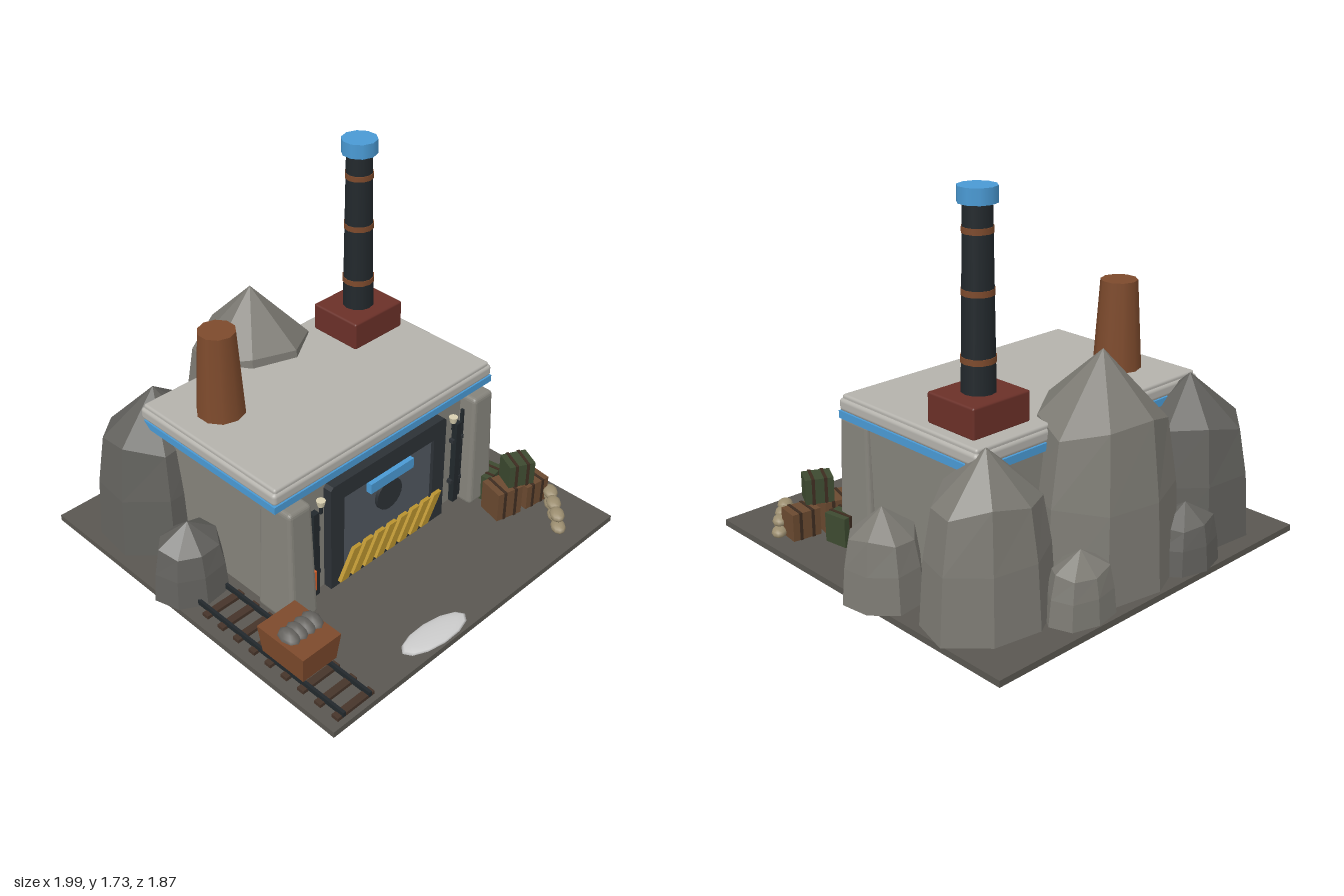
import * as THREE from 'three';
import { RoundedBoxGeometry } from 'three/addons/geometries/RoundedBoxGeometry.js';

const mat = (color, opts = {}) => new THREE.MeshStandardMaterial({ color, ...opts });
const M = {
  ground: mat(0x5a5751), wall: mat(0x85837b), roof: mat(0xb4b2ac), blue: mat(0x4a9ad4),
  rock: mat(0x7c7a73, { flatShading: true }), darkRock: mat(0x62615d, { flatShading: true }),
  frame: mat(0x2c3136), panel: mat(0x515860), steel: mat(0x22282c), rust: mat(0x7d4a2c),
  maroon: mat(0x6b3028), yellow: mat(0xb8922e), orange: mat(0xd8602a), crate: mat(0x6b4a30),
  strap: mat(0x3d2c20), green: mat(0x3d4a30), sand: mat(0x9c8e70), wood: mat(0x46342a),
  ore: mat(0x65635f), snow: mat(0xd8d8d4), lamp: mat(0xd8cfb0),
};

export function createModel() {
  const model = new THREE.Group();

  const add = (name, geo, m, x, y, z, parent = model) => {
    const mesh = new THREE.Mesh(geo, m);
    mesh.name = name;
    mesh.position.set(x, y, z);
    parent.add(mesh);
    return mesh;
  };
  const box = (name, m, w, h, d, x, y, z, parent) =>
    add(name, new THREE.BoxGeometry(w, h, d), m, x, y, z, parent);
  const cyl = (name, m, rTop, rBottom, h, n, x, y, z, parent) =>
    add(name, new THREE.CylinderGeometry(rTop, rBottom, h, n), m, x, y, z, parent);
  const group = (name, x, y, z, turn = 0) => {
    const g = new THREE.Group();
    g.name = name;
    g.position.set(x, y, z);
    g.rotation.y = turn;
    model.add(g);
    return g;
  };
  // Scales a box's horizontal section linearly towards its top
  const taper = (geo, h, top) => {
    const p = geo.attributes.position;
    for (let i = 0; i < p.count; i++) {
      const s = 1 + (top - 1) * (p.getY(i) / h + 0.5);
      p.setX(i, p.getX(i) * s);
      p.setZ(i, p.getZ(i) * s);
    }
    geo.computeVertexNormals();
    return geo;
  };

  // Ground plate
  box('ground', M.ground, 1.865, 0.03, 1.86, -0.022, 0.015, 0);

  // Bunker body, roof band and rounded roof slab
  box('walls', M.wall, 1.26, 0.64, 0.82, -0.022, 0.35, -0.11);
  box('roofBand', M.blue, 1.37, 0.035, 0.88, -0.022, 0.662, -0.1);
  add('roofSlab', new RoundedBoxGeometry(1.37, 0.06, 0.88, 2, 0.018), M.roof, -0.022, 0.708, -0.1);
  add('roofTop', new RoundedBoxGeometry(1.345, 0.04, 0.86, 2, 0.012), M.roof, -0.022, 0.735, -0.1);

  // Front buttresses, posts and lamps, mirrored about the door axis
  for (const s of [-1, 1]) {
    const at = (d) => -0.022 + s * d;
    add('buttress', taper(new RoundedBoxGeometry(0.155, 0.605, 0.23, 2, 0.022), 0.605, 0.82),
      M.wall, at(0.583), 0.333, 0.292);
    box('post', M.steel, 0.032, 0.46, 0.03, at(0.46), 0.29, 0.335);
    box('conduit', M.steel, 0.012, 0.5, 0.015, at(0.5), 0.32, 0.33);
    for (const y of [0.18, 0.42]) box('postClamp', M.frame, 0.075, 0.02, 0.025, at(0.468), y, 0.33);
    cyl('lampStem', M.steel, 0.008, 0.008, 0.05, 6, at(0.425), 0.525, 0.34);
    cyl('lampShade', M.lamp, 0.022, 0.015, 0.03, 8, at(0.425), 0.555, 0.34);
  }
  box('warningLight', M.orange, 0.022, 0.11, 0.03, -0.51, 0.165, 0.35);

  // Gate: frame with an opening, panel, blue plate, round hatch, hazard stripes
  const frame = new THREE.Shape([[-0.37, 0], [0.37, 0], [0.37, 0.555], [0.355, 0.57], [-0.355, 0.57],
    [-0.37, 0.555]].map(([x, y]) => new THREE.Vector2(x, y)));
  frame.holes.push(new THREE.Path([[-0.29, 0.02], [-0.29, 0.48], [0.29, 0.48], [0.29, 0.02]]
    .map(([x, y]) => new THREE.Vector2(x, y))));
  add('gateFrame', new THREE.ExtrudeGeometry(frame, { depth: 0.055, bevelEnabled: false }), M.frame, -0.022, 0.03, 0.29);
  box('gatePanel', M.panel, 0.6, 0.49, 0.04, -0.022, 0.275, 0.308);
  box('gatePlate', M.blue, 0.275, 0.052, 0.03, -0.022, 0.474, 0.345);
  cyl('gateHatch', M.frame, 0.08, 0.08, 0.02, 20, -0.022, 0.363, 0.335).rotation.x = Math.PI / 2;
  const stripe = new THREE.Shape([[0, 0], [0.048, 0], [0.135, 0.145], [0.087, 0.145]]
    .map(([x, y]) => new THREE.Vector2(x, y)));
  const stripeGeo = new THREE.ExtrudeGeometry(stripe, { depth: 0.02, bevelEnabled: false });
  for (let i = 0; i < 8; i++) add('hazardStripe', stripeGeo, M.yellow, -0.352 + i * 0.076, 0.055, 0.345);

  // Rusty chimney
  cyl('chimney', M.rust, 0.085, 0.112, 0.42, 10, -0.48, 0.958, -0.25);

  // Tall stack with plinth, rings and cap
  add('stackPlinth', new RoundedBoxGeometry(0.315, 0.14, 0.28, 1, 0.01), M.maroon, 0.44, 0.82, -0.315);
  cyl('stack', M.steel, 0.062, 0.075, 0.8, 12, 0.44, 1.285, -0.315);
  for (const [y, r] of [[1.03, 0.076], [1.31, 0.071], [1.56, 0.067]])
    cyl('stackRing', M.rust, r, r, 0.026, 12, 0.44, y, -0.315);
  cyl('stackCap', M.blue, 0.084, 0.084, 0.068, 10, 0.44, 1.7, -0.315);

  // Rocks: steep ringed cones with slightly irregular shoulders
  const rings = [[0, 1], [0.4, 0.93], [0.72, 0.8], [1, 0]];
  const rock = (m, x, z, rx, rz, h, seed) => {
    const n = 8, pos = [], idx = [];
    rings.forEach(([t, r], k) => {
      for (let i = 0; i < n; i++) {
        const a = (i + 0.15 * seed) / n * Math.PI * 2;
        const j = Math.sin(i * 2.3 + seed * 1.7);
        const rr = r * (1 + 0.04 * j);
        const lift = k === 2 ? 0.04 * Math.sin(i * 1.9 + seed) : 0;
        pos.push(Math.sin(a) * rx * rr, (t + lift) * h, Math.cos(a) * rz * rr);
      }
    });
    for (let k = 0; k < rings.length - 1; k++) for (let i = 0; i < n; i++) {
      const a = k * n + i, b = k * n + (i + 1) % n;
      idx.push(a, b, b + n);
      if (k < rings.length - 2) idx.push(a, b + n, a + n);
    }
    const geo = new THREE.BufferGeometry();
    geo.setAttribute('position', new THREE.Float32BufferAttribute(pos, 3));
    geo.setIndex(idx);
    geo.computeVertexNormals();
    add('rock', geo, m, x, 0.03, z);
  };
  rock(M.rock, 0.01, -0.6, 0.36, 0.33, 1.01, 1);
  rock(M.rock, 0.62, -0.55, 0.3, 0.25, 0.735, 2);
  rock(M.darkRock, -0.6, -0.58, 0.33, 0.28, 0.75, 3);
  rock(M.rock, 0.82, -0.14, 0.18, 0.18, 0.41, 4);
  rock(M.darkRock, -0.81, -0.12, 0.18, 0.16, 0.365, 5);
  rock(M.rock, 0.34, -0.8, 0.17, 0.13, 0.29, 6);
  rock(M.darkRock, -0.31, -0.81, 0.18, 0.13, 0.29, 7);

  // Track
  for (let i = 0; i < 9; i++) box('sleeper', M.wood, 0.21, 0.018, 0.036, -0.8, 0.038, 0.085 + i * 0.1);
  for (const x of [-0.875, -0.725]) box('rail', M.steel, 0.014, 0.025, 0.92, x, 0.055, 0.45);

  // Mine cart with ore
  const cart = group('mineCart', -0.795, 0, 0.565);
  add('cartTub', taper(new THREE.BoxGeometry(0.19, 0.14, 0.245), 0.14, 1.13), M.rust, 0, 0.15, 0, cart);
  for (const x of [-0.077, 0.077]) for (const z of [-0.08, 0.08])
    cyl('cartWheel', M.steel, 0.032, 0.032, 0.02, 10, x, 0.075, z, cart).rotation.z = Math.PI / 2;
  for (let i = 0; i < 4; i++) {
    const lump = add('oreLump', new THREE.SphereGeometry(1, 8, 6), M.ore, -0.055 + i * 0.043, 0.215, 0, cart);
    lump.scale.set(0.042, 0.04, 0.06);
  }

  // Crates with straps: material, width, height, depth, x, base y, z, turn
  for (const [m, w, h, d, x, y, z, turn] of [
    [M.crate, 0.14, 0.155, 0.13, 0.575, 0.03, 0.525, -0.25],
    [M.crate, 0.14, 0.13, 0.11, 0.735, 0.03, 0.565, -0.12],
    [M.green, 0.13, 0.12, 0.11, 0.65, 0.185, 0.545, -0.45],
    [M.green, 0.13, 0.14, 0.12, 0.625, 0.03, 0.38, 0.15],
  ]) {
    const crate = group('crate', x, y + h / 2, z, turn);
    box('crateBody', m, w, h, d, 0, 0, 0, crate);
    for (const s of [-1, 1])
      box('crateStrap', M.strap, 0.014, h + 0.006, d + 0.008, s * w * 0.22, 0, 0, crate);
  }

  // Sandbag row in two layers
  const bags = group('sandbags', 0.735, 0, 0.715, 0.84);
  for (let layer = 0; layer < 2; layer++) for (let i = 0; i < 4 - layer; i++) {
    const bag = add('sandbag', new THREE.SphereGeometry(1, 10, 6), M.sand,
      (i - (3 - layer) / 2) * 0.085, 0.05 + layer * 0.037, 0, bags);
    bag.scale.set(0.052, 0.024, 0.036);
  }

  // Snow patch
  const patch = add('snowPatch', new THREE.SphereGeometry(1, 12, 4, 0, Math.PI * 2, 0, Math.PI / 2), M.snow, -0.27, 0.03, 0.85);
  patch.scale.set(0.185, 0.016, 0.07);
  patch.rotation.y = -0.08;

  return model;
}
